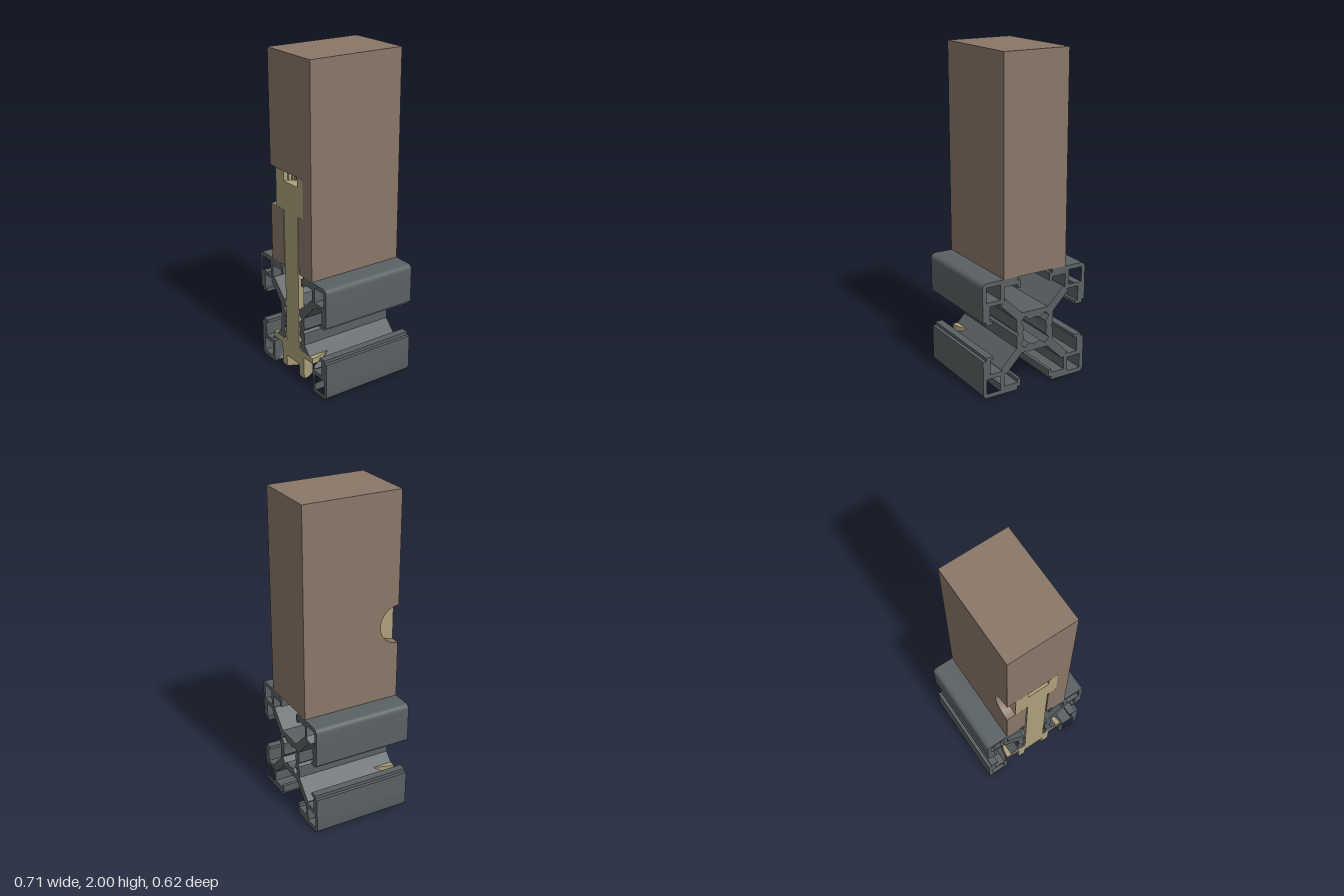
import * as THREE from 'three';
import { toCreasedNormals } from 'three/addons/utils/BufferGeometryUtils.js';

const Z = 0.31;      // half depth; the assembly is sectioned at z = +Z
const MID = 0.3575;  // height of the rail centre

const wood = new THREE.MeshStandardMaterial({ color: 0x8a7768 });
wood.name = 'brown block';
const rail = new THREE.MeshStandardMaterial({ color: 0x5a6163 });
rail.name = 'grey metal';
const brass = new THREE.MeshStandardMaterial({ color: 0xac9f7b });
brass.name = 'tan metal';

const toShape = (pts) => new THREE.Shape(pts.map(([x, y]) => new THREE.Vector2(x, y)));

function arc(cx, cy, r, a0, a1, n = 24) {
  return Array.from({ length: n + 1 }, (_, i) => {
    const a = a0 + ((a1 - a0) * i) / n;
    return [cx + r * Math.cos(a), cy + r * Math.sin(a)];
  });
}

// Prism between two positions on the chosen axis.
// Shape coordinates: z -> (x, y), y -> (x, -z), x -> (-z, y)
function prism(shape, axis, from, to) {
  const g = new THREE.ExtrudeGeometry(shape, { depth: to - from, bevelEnabled: false });
  g.translate(0, 0, from);
  if (axis === 'y') g.rotateX(-Math.PI / 2);
  if (axis === 'x') g.rotateY(Math.PI / 2);
  return toCreasedNormals(g, 0.5);
}

// Strip between two edges, its front end bored by a vertical cylinder
function boredStrip(a, b, c, d, r, n = 14) {
  const mix = (p, q, t) => [p[0] + (q[0] - p[0]) * t, p[1] + (q[1] - p[1]) * t];
  const pts = [];
  for (let i = 0; i <= n; i++) pts.push(mix(a, b, i / n));
  for (let i = n; i >= 0; i--) pts.push(mix(d, c, i / n));
  const g = new THREE.ExtrudeGeometry(toShape(pts), { depth: 2 * Z, bevelEnabled: false });
  g.translate(0, 0, -Z);
  const p = g.attributes.position;
  for (let i = 0; i < p.count; i++) {
    if (p.getZ(i) > 0) p.setZ(i, Z - Math.sqrt(Math.max(0, r * r - p.getX(i) ** 2)));
  }
  return toCreasedNormals(g, 0.5);
}

// Half of a turned solid with a flat section face
function halfTurned(profile) {
  const g = new THREE.Group();
  const pts = profile.map(([r, y]) => new THREE.Vector2(r, y));
  const skin = new THREE.LatheGeometry(pts, 32, Math.PI / 2, Math.PI);
  const outline = [...profile, ...profile.slice().reverse().map(([r, y]) => [-r, y])];
  g.add(new THREE.Mesh(toCreasedNormals(skin, 0.5), brass));
  g.add(new THREE.Mesh(new THREE.ShapeGeometry(toShape(outline)), brass));
  g.position.z = Z;
  return g;
}

export function createModel() {
  const model = new THREE.Group();
  const group = (name) => {
    const g = new THREE.Group();
    g.name = name;
    model.add(g);
    return g;
  };
  const add = (parent, geo, mat, name) => {
    const m = new THREE.Mesh(geo, mat);
    m.name = name;
    parent.add(m);
  };

  // Upright block with a cross bore and a bolt hole
  const block = group('block');
  const W = 0.213;
  const rect = (x0, y0, x1, y1) => [[x0, y0], [x1, y0], [x1, y1], [x0, y1]];
  add(block, prism(toShape(rect(-W, -Z, W, Z)), 'y', 1.31, 2), wood, 'blockTop');
  add(block, prism(toShape([[Z, 1.07], [Z, 1.31],
    ...arc(-Z, 1.19, 0.12, Math.PI / 2, -Math.PI / 2)]), 'x', -W, 0.13), wood, 'blockCrossBore');
  add(block, prism(toShape(rect(-Z, 1.07, Z, 1.31)), 'x', 0.13, W), wood, 'blockBoreEnd');
  add(block, prism(toShape([[-W, Z], [-W, -Z],
    ...arc(0, -Z, 0.077, Math.PI, 0), [W, -Z], [W, Z]]), 'y', 0.715, 1.07), wood, 'blockFoot');

  // Slotted rail: four hollow corners with lips, hooks and diagonal webs
  const railGroup = group('rail');
  const full = (pts, name, hole) => {
    const s = toShape(pts);
    if (hole) s.holes.push(new THREE.Path(hole.map(([x, y]) => new THREE.Vector2(x, y))));
    add(railGroup, prism(s, 'z', -Z, Z), rail, name);
  };
  for (const sx of [-1, 1]) {
    for (const sy of [-1, 1]) {
      const at = ([x, y]) => [sx * x, MID + sy * y];
      const swap = ([x, y]) => at([y, x]);
      full([[0.2125, 0.2125], [0.3555, 0.2125], ...arc(0.3255, 0.3275, 0.03, 0, Math.PI / 2, 8),
        [0.2125, 0.3575]].map(at), 'cornerTube', rect(0.238, 0.238, 0.33, 0.33).map(at));

      const lip = rect(0.12, 0.31, 0.22, 0.3575);
      const hook = rect(0.1, 0.2875, 0.12, 0.335);
      full(rect(0.12, 0.307, 0.22, 0.3555).map(swap), 'sideLip');
      full(hook.map(swap), 'sideHook');
      if (sy > 0) {
        full(lip.map(at), 'topLip');
        full(hook.map(at), 'topHook');
        full([[0.085, 0.122], [0.122, 0.085], [0.236, 0.2], [0.2, 0.236]].map(at), 'web');
      } else {
        // Lower lips and webs are cut away around the bolt head
        for (const [q, name] of [[lip, 'bottomLip'], [hook, 'bottomHook']]) {
          const [a, b, c, d] = q.map(at);
          add(railGroup, boredStrip(a, b, c, d, 0.22), rail, name);
        }
        full([[0.085, 0.122], [0.122, 0.085], [0.179, 0.1425], [0.1055, 0.1425]].map(at), 'webUpper');
        const [a, b, c, d] = [[0.1055, 0.1425], [0.2, 0.237], [0.236, 0.2], [0.179, 0.1425]].map(at);
        add(railGroup, boredStrip(a, b, c, d, 0.22), rail, 'webLower');
      }
    }
    // Core side with lobed bore and outer groove
    full([[0.07, 0.127], [0.115, 0.127], [0.127, 0.115], [0.127, 0.014], [0.113, 0], [0.127, -0.014],
      [0.127, -0.115], [0.115, -0.127], [0.07, -0.127], [0.07, -0.1], [0.1, -0.07], [0.075, -0.04],
      [0.085, 0], [0.075, 0.04], [0.1, 0.07], [0.07, 0.1]].map(([x, y]) => [sx * x, MID + y]), 'coreSide');
    // Core top and bottom, drilled for the bolt
    for (const sy of [-1, 1]) {
      const at = ([x, y]) => [sx * x, MID + sy * y];
      for (const [x0, y0, x1, y1] of [[0, 0.085, 0.04, 0.075], [0.04, 0.075, 0.07, 0.1]]) {
        const [a, b, c, d] = [[x0, 0.127], [x1, 0.127], [x1, y1], [x0, y0]].map(at);
        add(railGroup, boredStrip(a, b, c, d, 0.072, 6), rail, 'coreBridge');
      }
    }
  }

  // Bolt with washer flange and round head, sectioned along its axis
  const bolt = halfTurned([[0, 0.11], [0.12, 0.11], [0.12, 0.18], [0.213, 0.18], [0.213, 0.215],
    [0.07, 0.215], [0.07, 1.1], [0, 1.1]]);
  bolt.name = 'bolt';
  model.add(bolt);
  // Head rim around the hexagonal socket
  add(model, prism(toShape([...arc(0, -Z, 0.12, Math.PI, 0),
    ...arc(0, -Z, 0.07, 0, Math.PI, 3)]), 'y', 0.035, 0.11), brass, 'socketRim');

  // Cross barrel nut, with the threaded hole open at the top
  const nut = group('barrelNut');
  const R = 0.119;
  const section = (d) => toShape([...arc(-Z, 1.19, R, -Math.PI / 2, Math.acos(d / R)),
    ...(d > 0 ? [[-Z + d, 1.25], [-Z, 1.25]] : [])]);
  add(nut, prism(section(0), 'x', -0.155, -0.07), brass, 'nutEnd');
  add(nut, prism(section(0), 'x', 0.07, 0.13), brass, 'nutEnd');
  const N = 12;
  for (let i = 0; i < N; i++) {
    const x0 = -0.07 + (0.14 * i) / N, x1 = x0 + 0.14 / N, xm = (x0 + x1) / 2;
    add(nut, prism(section(Math.sqrt(0.0049 - xm * xm)), 'x', x0, x1), brass, 'nutMiddle');
  }
  return model;
}
